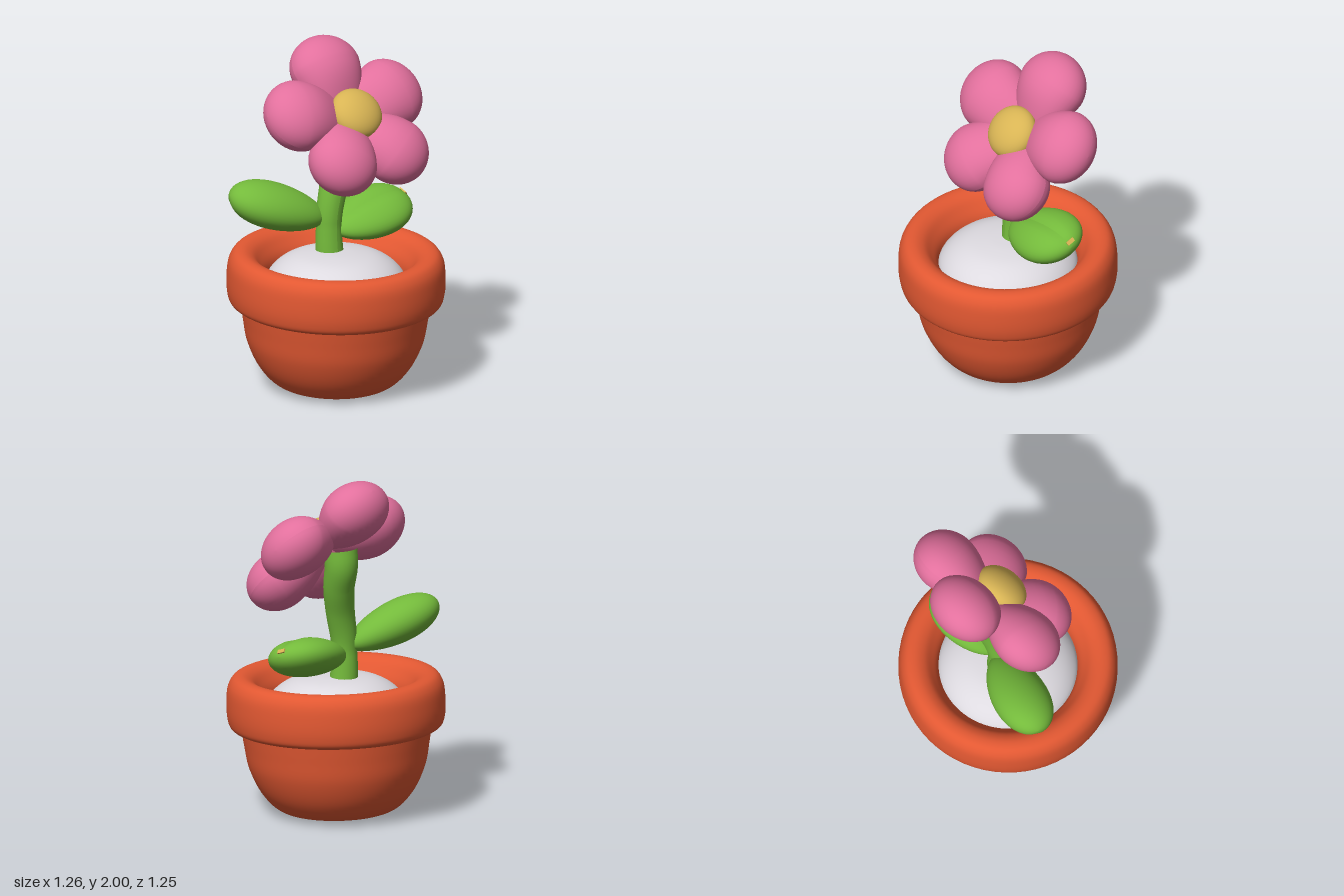
import * as THREE from 'three';

const mat = (name, color) => {
  const m = new THREE.MeshStandardMaterial({ color });
  m.name = name;
  return m;
};
const V = (x, y, z) => new THREE.Vector3(x, y, z);

export function createModel() {
  const terracotta = mat('terracotta', 0xe25832);
  const pink = mat('petal pink', 0xe2709d);
  const yellow = mat('flower yellow', 0xd8b454);
  const green = mat('leaf green', 0x74ba3b);
  const pale = mat('pale soil', 0xdddae0);

  const model = new THREE.Group();
  model.name = 'pottedFlower';
  const add = (parent, name, geometry, material) => {
    const mesh = new THREE.Mesh(geometry, material);
    mesh.name = name;
    parent.add(mesh);
    return mesh;
  };

  // Smooth turned shape through a few [radius, height] points, bottom up
  const turned = (pts, steps) => {
    const curve = new THREE.CatmullRomCurve3(pts.map(([r, y]) => V(r, y, 0)), false, 'centripetal');
    const profile = curve.getPoints(steps).map(p => new THREE.Vector2(Math.max(p.x, 0), p.y));
    return new THREE.LatheGeometry(profile, 64);
  };

  // Sphere with its poles on x, reshaped by a rule
  const shapedSphere = rule => {
    const g = new THREE.SphereGeometry(1, 40, 28).rotateZ(-Math.PI / 2);
    const pos = g.attributes.position;
    const p = V(0, 0, 0);
    for (let i = 0; i < pos.count; i++) {
      rule(p.fromBufferAttribute(pos, i));
      pos.setXYZ(i, p.x, p.y, p.z);
    }
    g.computeVertexNormals();
    return g;
  };

  // Pot, leaning very slightly forward
  const pot = new THREE.Group();
  pot.name = 'pot';
  pot.rotation.x = 0.025;
  pot.position.set(0, 0.008, -0.014);
  model.add(pot);
  add(pot, 'potBody', turned([[0, 0], [0.15, 0], [0.29, 0.008], [0.36, 0.04], [0.44, 0.13],
    [0.505, 0.27], [0.53, 0.4], [0.55, 0.53]], 40), terracotta);
  add(pot, 'potRim', turned([[0.5, 0.5], [0.56, 0.49], [0.605, 0.51], [0.622, 0.56], [0.626, 0.66],
    [0.613, 0.75], [0.58, 0.795], [0.53, 0.805], [0.48, 0.785], [0.44, 0.74], [0.405, 0.68],
    [0.39, 0.58]], 60), terracotta);
  add(pot, 'soil', turned([[0.405, 0.62], [0.385, 0.67], [0.33, 0.728], [0.24, 0.775],
    [0.12, 0.797], [0, 0.802]], 30), pale);

  // Stem: curved tube that thickens towards the flower
  const path = new THREE.CatmullRomCurve3([V(0, 0.74, -0.055), V(-0.005, 0.88, -0.058),
    V(0, 1.03, -0.058), V(0.04, 1.2, -0.066), V(0.09, 1.36, -0.1), V(0.115, 1.5, -0.14),
    V(0.115, 1.59, -0.13)]);
  const rings = 40, sides = 24;
  const stem = new THREE.TubeGeometry(path, rings, 1, sides);
  const sp = stem.attributes.position;
  for (let i = 0; i < sp.count; i++) {
    const t = Math.floor(i / (sides + 1)) / rings;
    const c = path.getPointAt(t);
    const r = 0.064 + 0.036 * t + 0.08 * Math.max(0, 0.25 - t);
    const p = V(0, 0, 0).fromBufferAttribute(sp, i).sub(c).multiplyScalar(r).add(c);
    sp.setXYZ(i, p.x, p.y, p.z);
  }
  stem.computeVertexNormals();
  add(model, 'stem', stem, green);

  // Leaves: plump, narrow at the stem, with a soft fold along the top
  const addLeaf = (name, base, tip, across, halfWidth, thickness) => {
    const axis = tip.clone().sub(base);
    const half = axis.length() / 2;
    axis.normalize();
    const normal = across.clone().cross(axis).normalize();
    const side = axis.clone().cross(normal);
    const group = new THREE.Group();
    group.name = name;
    group.quaternion.setFromRotationMatrix(new THREE.Matrix4().makeBasis(axis, normal, side));
    group.position.copy(base).add(tip).multiplyScalar(0.5);
    model.add(group);
    add(group, name + 'Blade', shapedSphere(p => {
      const f = 0.92 + 0.14 * p.x;
      const fold = p.y > 0 ? 1 - 0.12 * Math.exp(-p.z * p.z * 40) : 1;
      p.set(p.x * half, p.y * thickness * f * fold, p.z * halfWidth * f);
    }), green);
    return group;
  };
  const leftLeaf = addLeaf('leftLeaf', V(0.02, 0.92, -0.04), V(0.54, 1.02, -0.04),
    V(0, -0.35, 1), 0.205, 0.12);
  addLeaf('rightLeaf', V(-0.01, 0.99, -0.09), V(-0.55, 1.18, -0.28), V(-0.3, -0.32, 0.95), 0.18, 0.135);

  // Small yellow fleck near one leaf tip
  const fleck = add(leftLeaf, 'leafFleck', new THREE.BoxGeometry(0.024, 0.008, 0.05), yellow);
  fleck.position.set(0.257, 0.031, -0.015);
  fleck.rotation.z = -1.05;

  // Flower head: local z is the way it faces, tilted up from the front
  const flower = new THREE.Group();
  flower.name = 'flowerHead';
  flower.position.set(0.108, 1.6, -0.025);
  flower.rotation.x = -0.75;
  model.add(flower);

  // Petals: [angle, distance, half length, half width], dipping towards the centre
  const petals = [[90, 0.305, 0.2, 0.22], [11, 0.33, 0.2, 0.215], [169, 0.33, 0.212, 0.215],
    [236, 0.335, 0.2, 0.205], [304, 0.34, 0.2, 0.205]];
  petals.forEach(([deg, dist, len, width], i) => {
    const petal = add(flower, 'petal' + (i + 1), shapedSphere(p => {
      const inner = Math.max(0, -p.x);
      const x = p.x * (p.x < 0 ? dist : len);
      const dip = p.z > 0 ? 0.85 : 0.35;
      p.set(x + dist, p.y * width * (1 - 0.2 * inner), p.z * 0.163 * (1 - dip * inner * inner));
    }), pink);
    petal.rotation.z = deg * Math.PI / 180;
  });

  // Domed flower centre
  const centre = add(flower, 'flowerCentre', new THREE.SphereGeometry(1, 40, 24), yellow);
  centre.scale.set(0.158, 0.155, 0.095);
  centre.position.set(0, -0.035, 0.075);

  return model;
}
